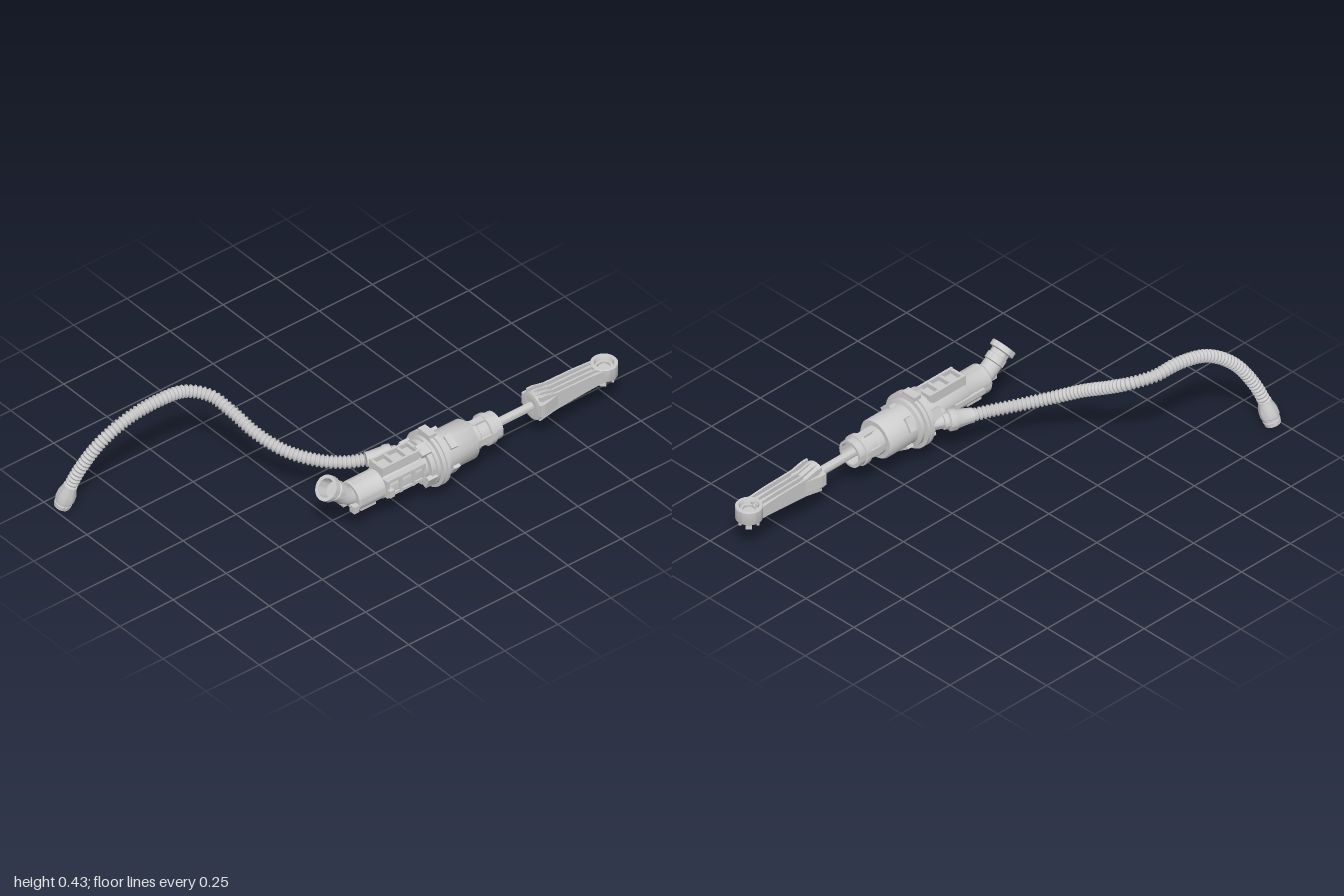
import * as THREE from 'three';
import { toCreasedNormals } from 'three/addons/utils/BufferGeometryUtils.js';

const AY = 0.18, AZ = 0.353; // main axis, running along x
const V = (x, y, z) => new THREE.Vector3(x, y, z);

export function createModel() {
  const model = new THREE.Group();
  const mat = new THREE.MeshStandardMaterial({ color: 0xcccccc, side: THREE.DoubleSide });

  const add = (name, geo, x = 0, y = 0, z = 0) => {
    const m = new THREE.Mesh(geo, mat);
    m.name = name;
    m.position.set(x, y, z);
    model.add(m);
    return m;
  };
  const box = (name, x0, x1, y0, y1, z0, z1) =>
    add(name, new THREE.BoxGeometry(x1 - x0, y1 - y0, z1 - z0), (x0 + x1) / 2, (y0 + y1) / 2, (z0 + z1) / 2);
  // profile given as [radius, distance along the axis]
  const lathe = (pts, seg = 40) =>
    toCreasedNormals(new THREE.LatheGeometry(pts.map(p => new THREE.Vector2(...p)), seg), 0.6);
  const turned = (name, pts, seg) => add(name, lathe(pts, seg).rotateZ(-Math.PI / 2), 0, AY, AZ);
  const along = (name, from, to, pts, seg = 32) => {
    const m = add(name, lathe(pts, seg), from.x, from.y, from.z);
    m.quaternion.setFromUnitVectors(V(0, 1, 0), to.clone().sub(from).normalize());
    return m;
  };

  // Cylinder body, from the closed rear end to the flange
  turned('rearCylinder', [[0, -0.25], [0.054, -0.25], [0.059, -0.243], [0.059, -0.13], [0.062, -0.125],
    [0.062, 0.04], [0.07, 0.045], [0.07, 0.1]]);
  turned('mountingFlange', [[0.06, 0.065], [0.088, 0.065], [0.088, 0.085], [0.098, 0.087], [0.098, 0.1], [0.112, 0.102],
    [0.112, 0.115], [0.104, 0.116], [0.104, 0.121], [0.112, 0.122], [0.112, 0.134], [0.096, 0.136],
    [0.096, 0.15], [0.08, 0.155]], 56);
  turned('frontCylinder', [[0.08, 0.15], [0.08, 0.292], [0.076, 0.298], [0.05, 0.298]], 48);
  turned('frontSleeve', [[0.058, 0.295], [0.058, 0.325], [0.052, 0.33], [0.052, 0.372], [0.062, 0.374], [0.062, 0.396],
    [0.055, 0.398], [0.055, 0.428], [0.044, 0.428], [0.044, 0.34], [0.017, 0.34]]);

  // Lugs around the sleeve, the front cylinder and the flange
  for (let i = 0; i < 4; i++) {
    const a = i * Math.PI / 2;
    const lug = (name, x, r, l, h, w, turn = 0) => {
      const m = add(name, new THREE.BoxGeometry(l, h, w), x, AY + r * Math.cos(a + turn), AZ + r * Math.sin(a + turn));
      m.rotation.x = a + turn;
    };
    lug('sleeveClip', 0.35, 0.053, 0.07, 0.012, 0.03);
    lug('bayonetLug', 0.185, 0.08, 0.03, 0.016, 0.055, 0.6);
    lug('flangeLug', 0.065, 0.086, 0.045, 0.018, 0.05, 0.4);
  }
  box('flangeTab', 0.1, 0.134, 0.27, 0.302, 0.315, 0.38);

  // Rails, ribs and clips on the rear cylinder
  box('topRail', -0.13, 0.05, 0.225, 0.25, 0.315, 0.39);
  for (const z of [0.315, 0.382]) box('topRailEdge', -0.13, 0.05, 0.245, 0.27, z, z + 0.01);
  for (const x of [-0.13, -0.07, -0.01, 0.04]) {
    box('topRib', x, x + 0.012, 0.235, 0.268, 0.315, 0.392);
    box('sideRib', x, x + 0.012, 0.15, 0.225, 0.39, 0.422);
  }
  box('sideRailUpper', -0.13, 0.05, 0.212, 0.225, 0.39, 0.42);
  box('sideRailLower', -0.13, 0.05, 0.15, 0.162, 0.39, 0.42);
  box('sidePeg', -0.13, -0.108, 0.16, 0.19, 0.4, 0.437);
  box('bottomClip', -0.22, -0.15, 0.112, 0.13, 0.325, 0.38);
  box('rearClip', -0.275, -0.25, 0.14, 0.17, 0.38, 0.408);
  box('backRail', -0.2, -0.05, 0.17, 0.19, 0.284, 0.3);

  // Angled inlet at the rear end
  const inletEnd = V(-0.359, 0.268, 0.347);
  const inletPath = new THREE.CatmullRomCurve3([V(-0.235, 0.18, AZ), V(-0.265, 0.19, 0.352),
    V(-0.295, 0.213, 0.349), V(-0.33, 0.243, 0.347)]);
  add('inletElbow', new THREE.TubeGeometry(inletPath, 16, 0.036, 24));
  along('inletCup', V(-0.3, 0.222, 0.347), inletEnd, [[0.03, 0], [0.04, 0.004], [0.04, 0.03], [0.036, 0.033],
    [0.036, 0.05], [0.05, 0.053], [0.05, 0.075], [0.036, 0.075], [0.032, 0.03], [0, 0.03]]);
  box('inletClip', -0.3, -0.27, 0.165, 0.2, 0.325, 0.375);

  // Outlet stem and hose connector on the back
  const outlet = V(0.1, 0.18, 0.285), hoseStart = V(-0.07, 0.176, 0.213);
  along('outletStem', outlet, hoseStart, [[0, -0.02], [0.026, -0.02], [0.026, 0.06], [0.032, 0.062],
    [0.032, 0.08], [0.042, 0.085], [0.042, 0.108], [0.037, 0.116], [0.029, 0.165], [0.029, 0.18], [0, 0.18]]);
  box('outletBracket', 0.01, 0.1, 0.155, 0.205, 0.262, 0.31);

  // Corrugated hose: a tube whose radius swells at each rib
  const hosePath = new THREE.CatmullRomCurve3([hoseStart, V(-0.13, 0.178, 0.185), V(-0.21, 0.19, 0.13),
    V(-0.3, 0.225, 0.04), V(-0.36, 0.278, -0.06), V(-0.39, 0.33, -0.16), V(-0.425, 0.372, -0.24),
    V(-0.5, 0.397, -0.295), V(-0.61, 0.404, -0.307), V(-0.74, 0.378, -0.322), V(-0.85, 0.3, -0.352),
    V(-0.92, 0.19, -0.387), V(-0.951, 0.105, -0.411)]);
  hosePath.arcLengthDivisions = 600;
  const ribs = Math.round(hosePath.getLength() / 0.0165), rings = ribs * 6, sides = 18;
  const hose = new THREE.TubeGeometry(hosePath, rings, 0.024, sides);
  const pos = hose.attributes.position, p = V(0, 0, 0);
  for (let i = 0; i <= rings; i++) {
    const c = hosePath.getPointAt(i / rings);
    const k = [0.8, 0.86, 1.04, 1.08, 1.04, 0.86][i % 6];
    for (let j = 0; j <= sides; j++) {
      const n = i * (sides + 1) + j;
      p.fromBufferAttribute(pos, n).sub(c).multiplyScalar(k).add(c);
      pos.setXYZ(n, p.x, p.y, p.z);
    }
  }
  hose.computeVertexNormals();
  add('corrugatedHose', hose);

  // Hose end fitting
  along('hoseEndFitting', V(-0.949, 0.116, -0.407), V(-0.968, 0.012, -0.435), [[0, 0], [0.026, 0], [0.028, 0.015],
    [0.036, 0.042], [0.037, 0.07], [0.032, 0.074], [0.032, 0.086], [0.034, 0.088], [0.032, 0.106],
    [0.024, 0.106], [0.024, 0.07], [0, 0.07]]);

  // Push rod and its ribbed end link
  turned('pushRod', [[0.017, 0.33], [0.017, 0.61]], 24);
  turned('linkCollar', [[0.017, 0.603], [0.045, 0.6], [0.056, 0.603], [0.056, 0.615], [0.048, 0.635], [0.036, 0.685], [0, 0.685]], 32);
  const side = new THREE.Shape([[0.61, 0.235], [0.64, 0.234], [0.69, 0.222], [0.83, 0.219], [0.92, 0.212],
    [0.92, 0.162], [0.83, 0.157], [0.69, 0.146], [0.64, 0.136], [0.61, 0.13]].map(q => new THREE.Vector2(...q)));
  for (const z of [-0.041, -0.0165, 0.0085, 0.033])
    add('linkRib', new THREE.ExtrudeGeometry(side, { depth: 0.008, bevelEnabled: false }), 0, 0, AZ + z);
  box('linkWeb', 0.62, 0.91, 0.172, 0.202, AZ - 0.041, AZ + 0.041);
  for (const s of [-1, 1]) {
    const fin = new THREE.Shape([[0.602, 0.02], [0.602, 0.056], [0.625, 0.056], [0.7, 0.04], [0.7, 0.02]]
      .map(([x, z]) => new THREE.Vector2(x, s * z)));
    add('linkFlare', new THREE.ExtrudeGeometry(fin, { depth: 0.05, bevelEnabled: false }).rotateX(Math.PI / 2), 0, 0.211, AZ);
  }

  // Socket eye with snap fingers underneath
  add('socketEye', lathe([[0.033, 0.16], [0.05, 0.16], [0.052, 0.164], [0.052, 0.214], [0.049, 0.218], [0.038, 0.218],
    [0.034, 0.212], [0.033, 0.16]]), 0.945, 0, AZ);
  add('socketCup', lathe([[0.022, 0.15], [0.033, 0.15], [0.033, 0.2], [0.024, 0.2], [0.024, 0.19], [0, 0.19]], 24), 0.945, 0, AZ);
  for (let i = 0; i < 4; i++) {
    const a = Math.PI / 4 + i * Math.PI / 2;
    const f = add('snapFinger', new THREE.BoxGeometry(0.01, 0.045, 0.024), 0.945 + 0.033 * Math.cos(a), 0.155, AZ + 0.033 * Math.sin(a));
    f.rotation.y = -a;
  }
  return model;
}
